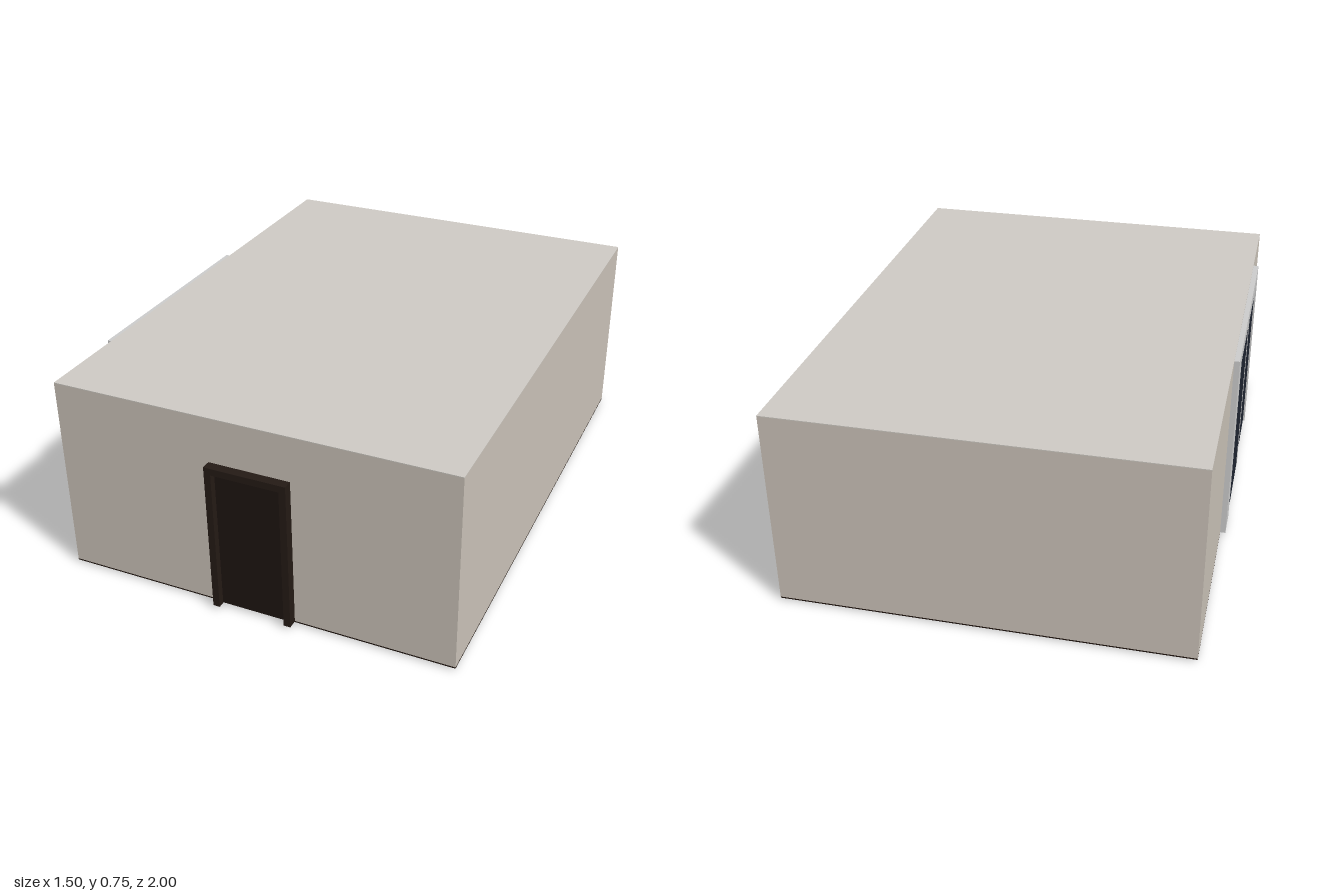
import * as THREE from 'three';

const mat = (color) => new THREE.MeshStandardMaterial({ color });
const wallMat = mat(0xcac2b8);
const roofMat = mat(0xcecac4);
const darkWood = mat(0x241a15);
const panelWood = mat(0x1e1511);
const floorMat = mat(0x20150f);
const rugMat = mat(0x33291d);
const trimMat = mat(0x3a1a18);
const frameMat = mat(0xcccccc);
const glassMat = mat(0x1e2430);

// Box given by its extents along each axis
function block(parent, name, material, [x0, x1], [y0, y1], [z0, z1]) {
  const mesh = new THREE.Mesh(new THREE.BoxGeometry(x1 - x0, y1 - y0, z1 - z0), material);
  mesh.position.set((x0 + x1) / 2, (y0 + y1) / 2, (z0 + z1) / 2);
  mesh.name = name;
  parent.add(mesh);
  return mesh;
}

function part(parent, name) {
  const group = new THREE.Group();
  group.name = name;
  parent.add(group);
  return group;
}

export function createModel() {
  const model = new THREE.Group();
  model.name = 'room';

  // Room shell
  const X = [-0.71, 0.765], Z = [-1, 0.965], T = 0.02;
  const wallY = [0.012, 0.747];
  const shell = part(model, 'shell');
  block(shell, 'floor', floorMat, X, [0.007, 0.012], Z);
  block(shell, 'roof', roofMat, X, [0.747, 0.75], Z);
  block(shell, 'frontWall', wallMat, X, wallY, [Z[1] - T, Z[1]]);
  block(shell, 'backWall', wallMat, X, wallY, [Z[0], Z[0] + T]);
  block(shell, 'rightWall', wallMat, [X[0], X[0] + T], wallY, [Z[0] + T, Z[1] - T]);
  block(shell, 'leftWall', wallMat, [X[1] - T, X[1]], wallY, [Z[0] + T, Z[1] - T]);

  // Front door: two posts and a head around a recessed panel
  const door = part(model, 'door');
  const doorZ = [0.965, 1];
  block(door, 'doorPost', darkWood, [-0.12, -0.095], [0.01, 0.58], doorZ);
  block(door, 'doorPost', darkWood, [0.155, 0.18], [0.01, 0.58], doorZ);
  block(door, 'doorHead', darkWood, [-0.095, 0.155], [0.555, 0.58], doorZ);
  block(door, 'doorPanel', panelWood, [-0.095, 0.155], [0.012, 0.555], [0.965, 0.975]);

  // Sliding window wall: wide jamb at the back end, staggered panes
  const glazing = part(model, 'slidingWindow');
  const frameX = [-0.73, -0.71];
  block(glazing, 'backJamb', frameMat, frameX, [0.01, 0.745], [-0.265, -0.145]);
  block(glazing, 'frontJamb', frameMat, frameX, [0.01, 0.745], [0.605, 0.615]);
  block(glazing, 'lintel', frameMat, frameX, [0.685, 0.745], [-0.145, 0.605]);
  block(glazing, 'pane', glassMat, [-0.727, -0.71], [0.012, 0.685], [-0.145, 0.222]);
  block(glazing, 'centreStile', frameMat, [-0.729, -0.71], [0.012, 0.685], [0.222, 0.234]);
  block(glazing, 'pane', glassMat, [-0.723, -0.71], [0.012, 0.685], [0.234, 0.605]);

  // Rug and trim strip showing just below the floor
  block(model, 'rug', rugMat, [-0.62, -0.14], [0, 0.007], [-0.92, -0.42]);
  block(model, 'rugTrim', trimMat, [-0.645, -0.125], [0.003, 0.007], [-0.955, -0.92]);

  return model;
}
